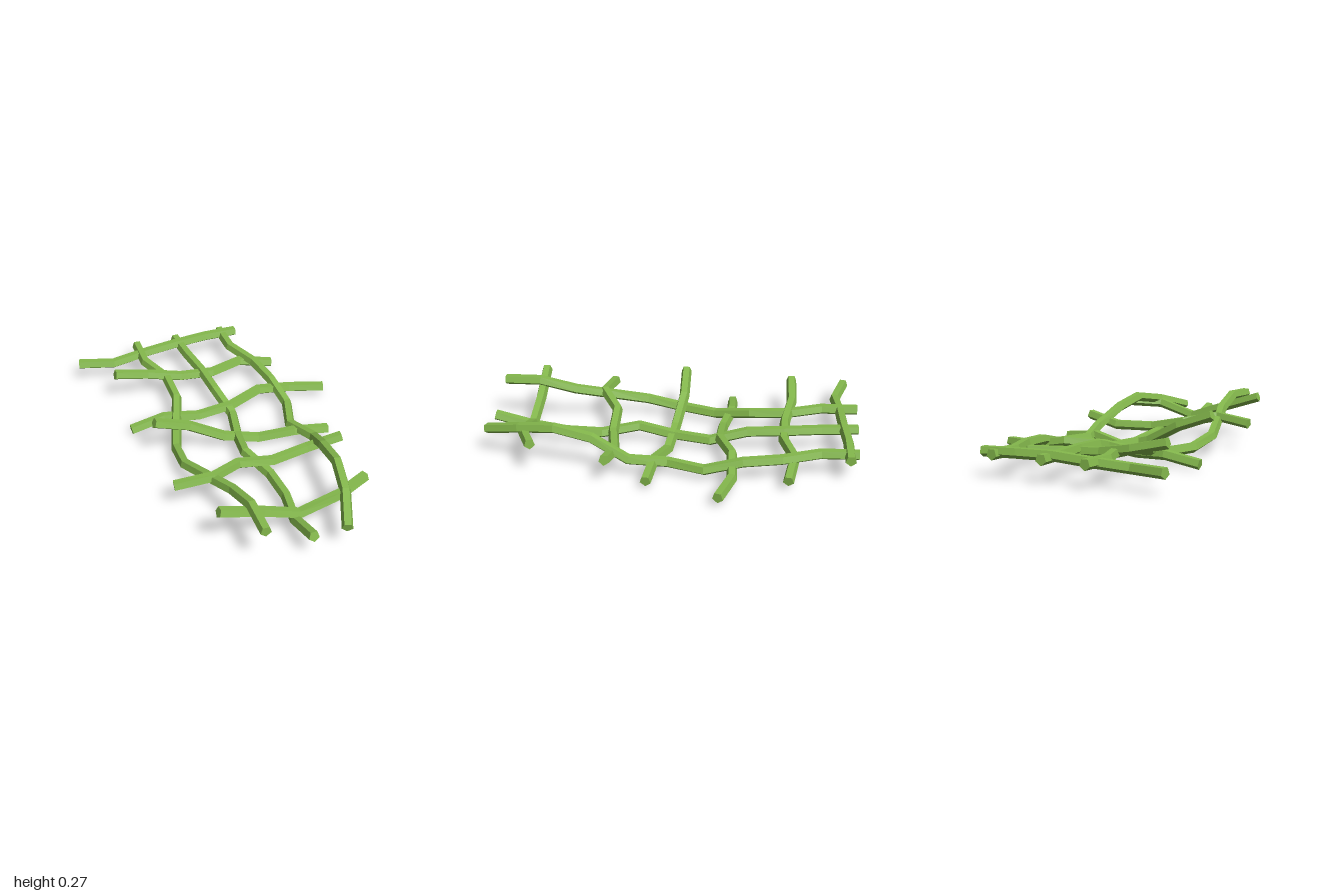
import * as THREE from 'three';

const RADIUS = 0.03;
const SIDES = 5;

// Sweeps a five-sided section with a flat top along a bent path, mitred at bends and capped.
function stemGeometry(points) {
  const up = new THREE.Vector3(0, 1, 0);
  const positions = [];
  const index = [];
  const last = points.length - 1;
  points.forEach((p, i) => {
    const before = points[Math.max(i - 1, 0)];
    const after = points[Math.min(i + 1, last)];
    const dirIn = p.clone().sub(before).normalize();
    const dirOut = after.clone().sub(p).normalize();
    const tangent = dirIn.add(dirOut).normalize();
    const side = up.clone().cross(tangent).normalize();
    const lift = tangent.clone().cross(side);
    for (let j = 0; j < SIDES; j++) {
      const a = Math.PI * 0.3 + (j / SIDES) * Math.PI * 2;
      const v = p.clone()
        .addScaledVector(side, Math.cos(a) * RADIUS)
        .addScaledVector(lift, Math.sin(a) * RADIUS);
      positions.push(v.x, v.y, v.z);
    }
  });
  for (let i = 0; i < last; i++) {
    for (let j = 0; j < SIDES; j++) {
      const a = i * SIDES + j;
      const b = i * SIDES + (j + 1) % SIDES;
      index.push(a, b, b + SIDES, a, b + SIDES, a + SIDES);
    }
  }
  // End caps
  const e = last * SIDES;
  for (let j = 1; j < SIDES - 1; j++) {
    index.push(0, j + 1, j, e, e + j, e + j + 1);
  }
  const indexed = new THREE.BufferGeometry();
  indexed.setAttribute('position', new THREE.Float32BufferAttribute(positions, 3));
  indexed.setIndex(index);
  const geometry = indexed.toNonIndexed();
  geometry.computeVertexNormals();
  return geometry;
}

// Long stems run back to front with a bend every 0.2; x positions and the heights of the front half.
const BACK_HEIGHTS = [0.13, 0.125, 0.12, 0.11, 0.065, 0.065];
const LONG_STEMS = [
  {
    name: 'rightLongStem',
    x: [-0.285, -0.285, -0.21, -0.21, -0.275, -0.335, -0.345, -0.28, -0.215, -0.19, -0.19],
    front: [0.1, 0.15, 0.2, 0.255, 0.25],
  },
  {
    name: 'middleLongStem',
    x: [-0.04, -0.02, 0.01, 0.025, 0.06, 0.02, -0.005, 0.065, 0.075, 0.045, 0.06],
    front: [0.095, 0.075, 0.08, 0.09, 0.145],
  },
  {
    name: 'leftLongStem',
    x: [0.25, 0.255, 0.335, 0.37, 0.395, 0.335, 0.395, 0.36, 0.35, 0.31, 0.235],
    front: [0.1, 0.195, 0.235, 0.205, 0.15],
  },
];

// Cross stems from back to front, each a list of [x, y, z] bends.
const CROSS_STEMS = [
  [[-0.665, 0.115, -0.925], [-0.463, 0.11, -0.875], [-0.26, 0.125, -0.905],
    [-0.06, 0.14, -0.92], [0.135, 0.14, -0.945], [0.335, 0.135, -0.955]],
  [[-0.515, 0.195, -0.62], [-0.32, 0.15, -0.63], [-0.125, 0.115, -0.6],
    [0.07, 0.1, -0.6], [0.265, 0.1, -0.665], [0.46, 0.065, -0.64]],
  [[-0.515, 0.035, -0.28], [-0.32, 0.07, -0.29], [-0.125, 0.06, -0.255],
    [0.07, 0.085, -0.255], [0.265, 0.1, -0.335], [0.46, 0.065, -0.35], [0.66, 0.06, -0.295]],
  [[-0.45, 0.25, -0.01], [-0.255, 0.18, -0.02], [-0.06, 0.08, 0.005],
    [0.135, 0.035, 0.025], [0.33, 0.07, 0.075], [0.525, 0.05, 0.09]],
  [[-0.47, 0.15, 0.415], [-0.265, 0.175, 0.44], [-0.1, 0.145, 0.34],
    [0.1, 0.105, 0.33], [0.315, 0.105, 0.285], [0.51, 0.15, 0.305]],
  [[-0.36, 0.255, 0.8], [-0.125, 0.18, 0.785], [0.07, 0.115, 0.785],
    [0.29, 0.18, 0.785], [0.46, 0.19, 0.705]],
];

export function createModel() {
  const model = new THREE.Group();
  model.name = 'vineLattice';
  const green = new THREE.MeshStandardMaterial({ color: 0x84b84c, flatShading: true });

  const addStem = (name, points) => {
    const mesh = new THREE.Mesh(stemGeometry(points), green);
    mesh.name = name;
    model.add(mesh);
  };

  for (const { name, x, front } of LONG_STEMS) {
    const heights = [...BACK_HEIGHTS, ...front];
    addStem(name, x.map((px, i) => new THREE.Vector3(px, heights[i], -1 + i * 0.2)));
  }

  CROSS_STEMS.forEach((bends, i) => {
    addStem(`crossStem${i + 1}`, bends.map((b) => new THREE.Vector3(...b)));
  });

  return model;
}
